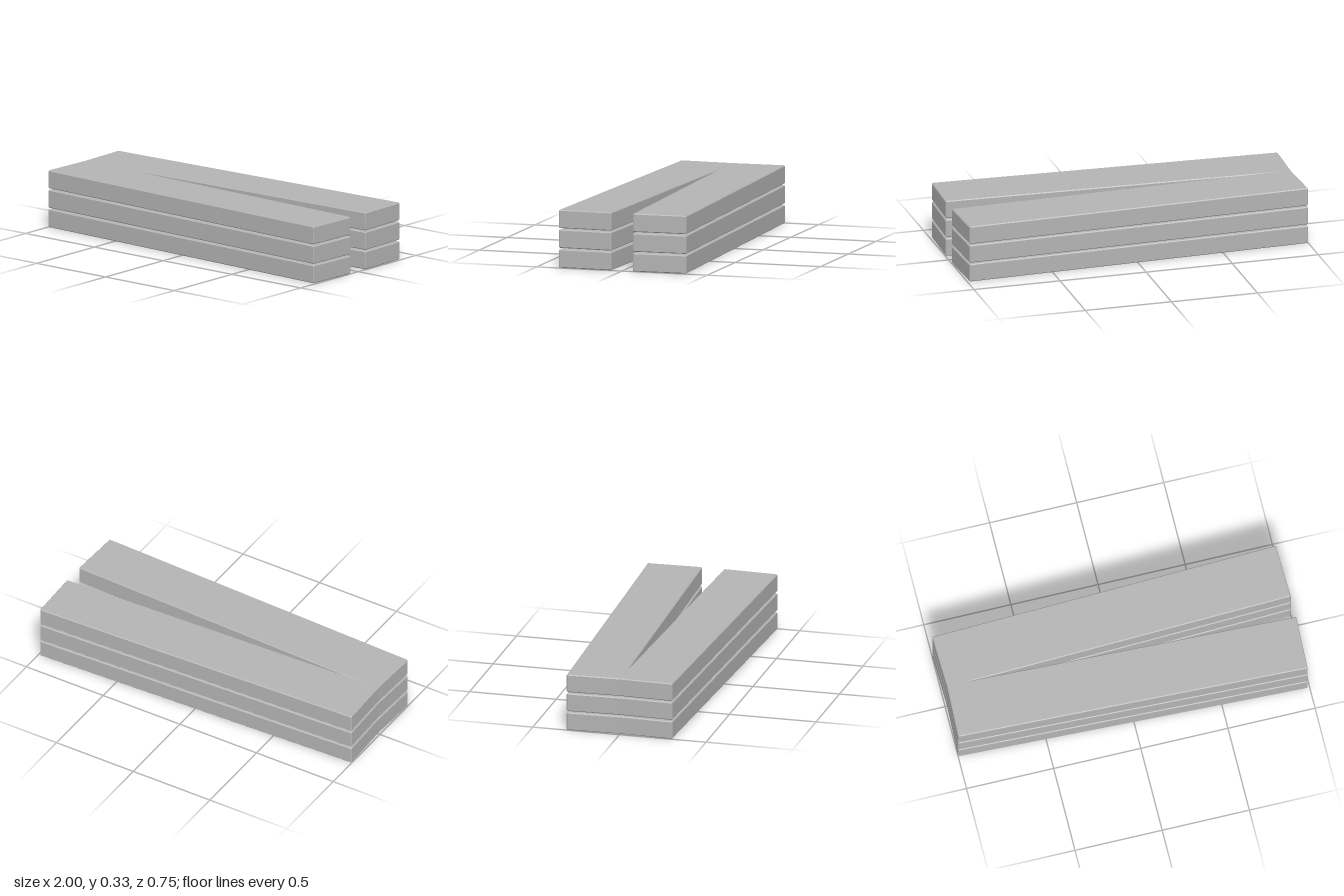
import * as THREE from 'three';

const LENGTH = 1.99, WIDTH = 0.312, HEIGHT = 0.103, PITCH = 0.1115;
const CHAMFER = 0.005, SPLAY = 0.035, OFFSET = 0.184;

// Plank with every edge chamfered, centred in x and z, resting on y = 0
function plankGeometry() {
  const a = LENGTH / 2, b = WIDTH / 2, c = CHAMFER;
  const outline = new THREE.Shape([
    [-a + c, -b], [a - c, -b], [a, -b + c], [a, b - c],
    [a - c, b], [-a + c, b], [-a, b - c], [-a, -b + c],
  ].map(([x, y]) => new THREE.Vector2(x, y)));
  const geometry = new THREE.ExtrudeGeometry(outline, {
    depth: HEIGHT - 2 * c, bevelEnabled: true, bevelSegments: 1,
    bevelSize: c, bevelThickness: c, bevelOffset: -c,
  });
  geometry.translate(0, 0, c);
  geometry.rotateX(-Math.PI / 2);
  return geometry;
}

export function createModel() {
  const model = new THREE.Group();
  model.name = 'plankStack';
  const grey = new THREE.MeshStandardMaterial({ color: 0xb4b4b4 });
  grey.name = 'grey';
  const geometry = plankGeometry();

  // Three layers, each a V of two planks meeting at the -x end
  for (let i = 0; i < 3; i++) {
    const layer = new THREE.Group();
    layer.name = `layer${i + 1}`;
    layer.position.y = i * PITCH;
    for (const side of [1, -1]) {
      const plank = new THREE.Mesh(geometry, grey);
      plank.name = side > 0 ? 'frontPlank' : 'backPlank';
      plank.position.z = side * OFFSET;
      plank.rotation.y = -side * SPLAY;
      layer.add(plank);
    }
    model.add(layer);
  }
  return model;
}
